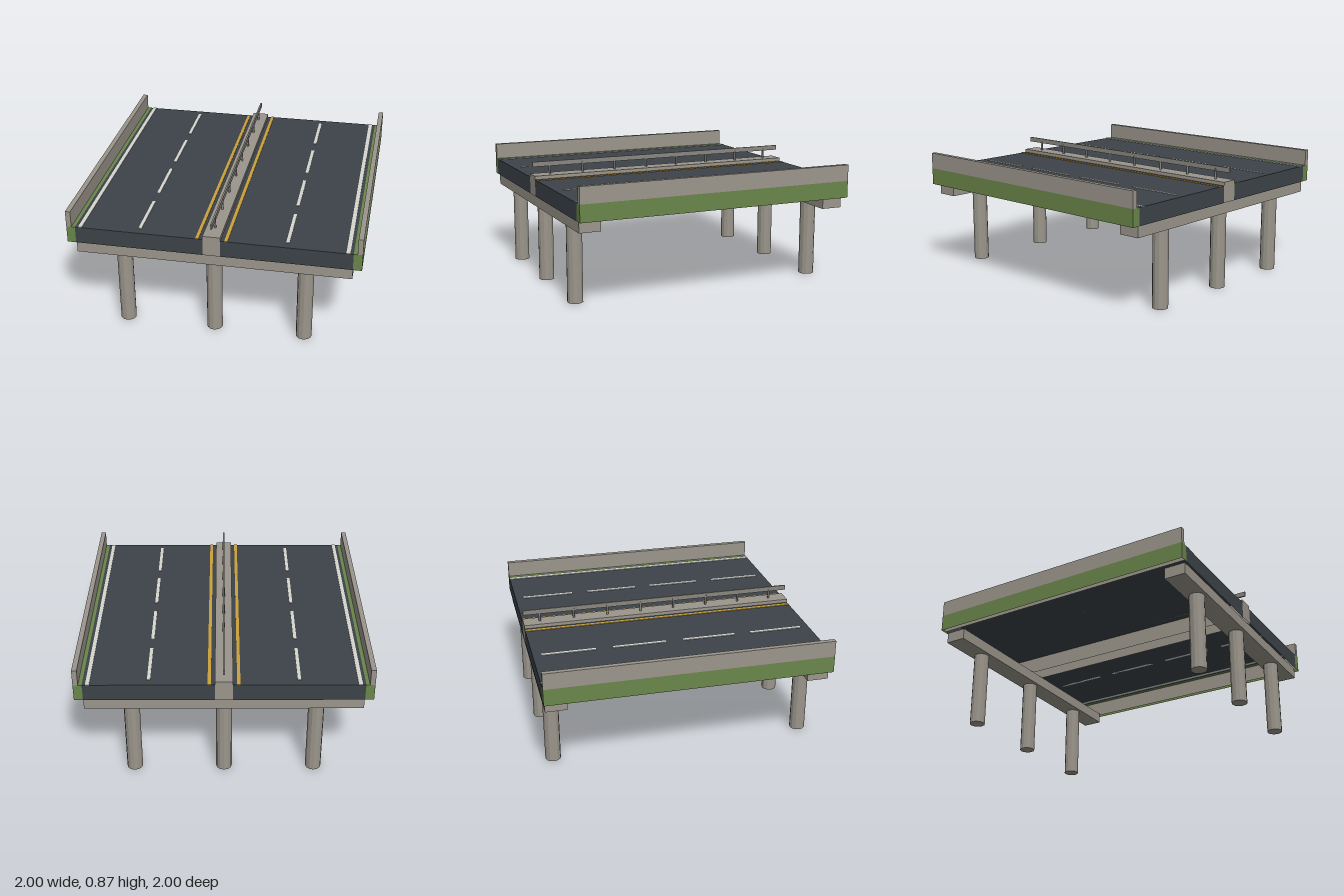
import * as THREE from 'three';

const paint = (name, color, side = THREE.FrontSide) => {
  const m = new THREE.MeshStandardMaterial({ color, side });
  m.name = name;
  return m;
};

export function createModel() {
  const model = new THREE.Group();
  model.name = 'roadBridge';

  const asphalt = paint('asphalt', 0x3d4349, THREE.DoubleSide);
  const concrete = paint('concrete', 0x9b968c, THREE.DoubleSide);
  const grass = paint('green verge', 0x6a864a, THREE.DoubleSide);
  const yellow = paint('yellow line', 0xcba03a);
  const white = paint('white line', 0xd6d6ce);
  const metal = paint('rail metal', 0x8a8780);
  concrete.flatShading = true;

  const add = (name, geometry, material, x = 0, y = 0, z = 0) => {
    const mesh = new THREE.Mesh(geometry, material);
    mesh.name = name;
    mesh.position.set(x, y, z);
    model.add(mesh);
  };

  // Box between limits that keeps only some faces: 0 +x, 1 -x, 2 +y, 3 -y, 4 +z, 5 -z
  const shell = (name, material, x0, x1, y0, y1, faces) => {
    const g = new THREE.BoxGeometry(Math.abs(x1 - x0), y1 - y0, 2);
    const all = Array.from(g.index.array);
    g.setIndex(faces.flatMap((f) => all.slice(f * 6, f * 6 + 6)));
    g.clearGroups();
    add(name, g, material, (x0 + x1) / 2, (y0 + y1) / 2, 0);
  };

  const bottom = 0.63, top = 0.75;

  for (const s of [1, -1]) {
    const outer = s > 0 ? 0 : 1;
    const inner = 1 - outer;

    // Carriageway, verge and parapet, all open underneath
    shell('carriageway', asphalt, s * 0.06, s * 0.94, bottom, top, [2, 4, 5]);
    shell('verge', grass, s * 0.94, s * 1, bottom, top, [outer, 2, 4, 5]);
    shell('parapet', concrete, s * 0.965, s * 1, top, 0.865, [outer, 2, 4, 5]);
    shell('parapetInnerWall', concrete, s * 0.965, s * 1, bottom, 0.865, [inner]);

    // Painted lines
    add('edgeLine', new THREE.BoxGeometry(0.026, 0.004, 2), white, s * 0.905, top + 0.002);
    add('medianLine', new THREE.BoxGeometry(0.022, 0.004, 2), yellow, s * 0.098, top + 0.002);
    for (let i = 0; i < 4; i++) {
      add('laneDash', new THREE.BoxGeometry(0.022, 0.004, 0.38), white,
        s * 0.502, top + 0.002, -0.75 + i * 0.5);
    }

    // Cross beam on three columns at each end
    const z = s * 0.912;
    add('crossBeam', new THREE.BoxGeometry(1.88, 0.08, 0.15), concrete, 0, 0.59, z);
    for (const x of [-0.627, 0, 0.627]) {
      add('column', new THREE.CylinderGeometry(0.055, 0.055, 0.55, 12), concrete, x, 0.275, z);
    }
  }

  // Median kerb with its guard rail
  shell('median', concrete, -0.06, 0.06, bottom, 0.775, [0, 1, 2, 4, 5]);
  add('guardRail', new THREE.BoxGeometry(0.012, 0.035, 2), metal, 0, 0.85);
  for (let i = 0; i < 8; i++) {
    add('railPost', new THREE.CylinderGeometry(0.008, 0.008, 0.075, 8), metal,
      0, 0.8125, -0.88 + i * 0.25);
  }

  return model;
}
